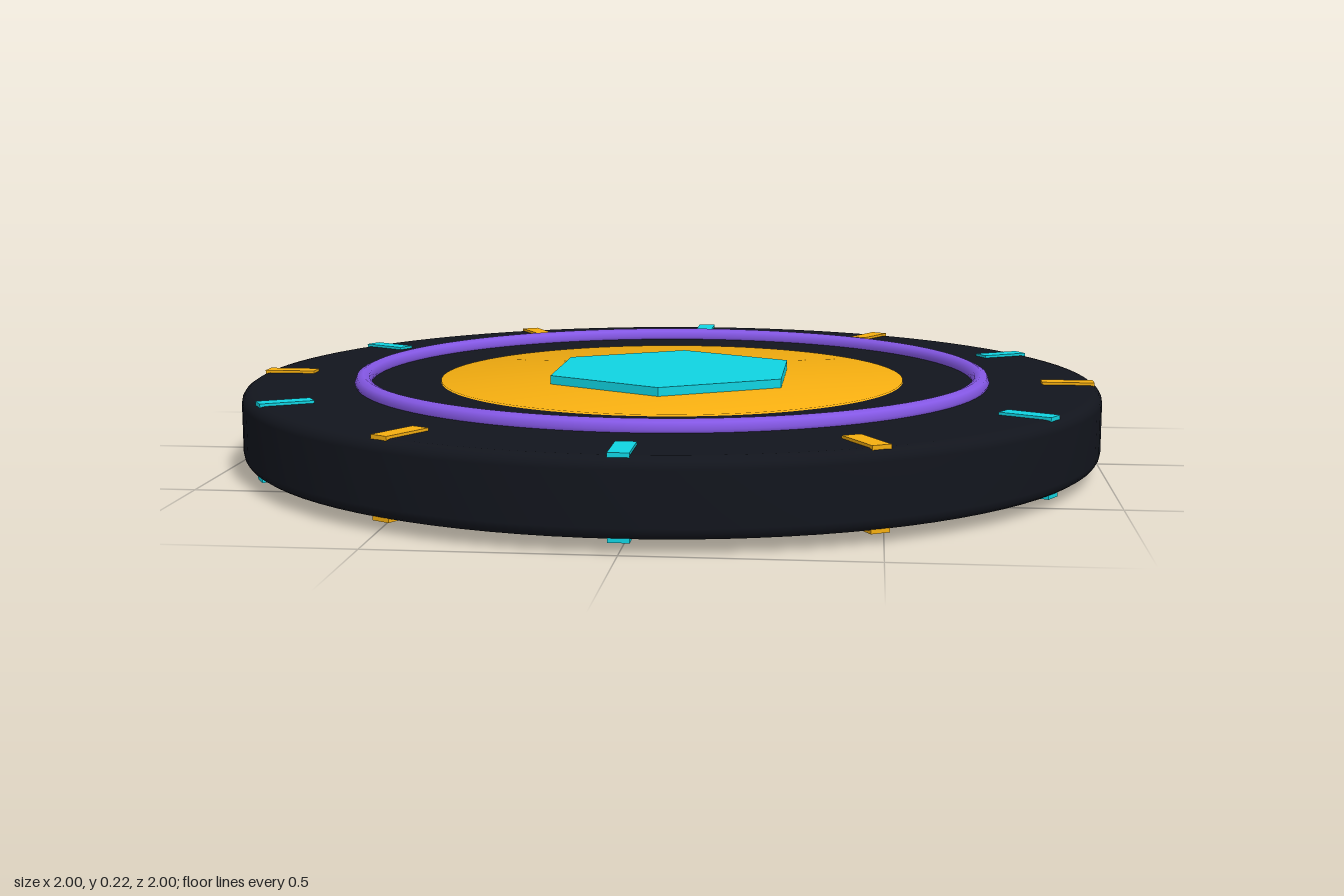
import * as THREE from 'three';

const MID = 0.108; // height of the middle plane

function paint(color) {
  return new THREE.MeshStandardMaterial({ color });
}

function add(parent, name, geometry, material) {
  const mesh = new THREE.Mesh(geometry, material);
  mesh.name = name;
  parent.add(mesh);
  return mesh;
}

function lathe(points, segments = 96) {
  return new THREE.LatheGeometry(points.map(([r, y]) => new THREE.Vector2(r, y)), segments);
}

export function createModel() {
  const root = new THREE.Group();
  root.name = 'disc';
  const chip = new THREE.Group();
  chip.name = 'chip';
  chip.position.y = MID;
  root.add(chip);

  const dark = paint(0x12151d);
  const gold = paint(0xf5ae10);
  const cyan = paint(0x10d4e2);
  const purple = paint(0x8558e6);

  // Body: flat disc with a rounded rim
  const h = 0.081, bevel = 0.025;
  const profile = [[0, -h], [0.965, -h]];
  for (const side of [-1, 1]) {
    for (let i = 0; i <= 4; i++) {
      const a = side < 0 ? -Math.PI / 2 + (i * Math.PI) / 8 : (i * Math.PI) / 8;
      profile.push([1 - bevel + bevel * Math.cos(a), side * (h - bevel) + bevel * Math.sin(a)]);
    }
  }
  profile.push([0.965, h], [0, h]);
  add(chip, 'body', lathe(profile), dark);

  // Gold centre with soft shading running from rim to middle
  const g = 0.085;
  add(chip, 'goldCentre', lathe([[0, -g], [0.545, -g], [0.545, g], [0, g]]), gold);

  // Hexagonal core, showing on both faces
  const hexagon = new THREE.CylinderGeometry(0.308, 0.308, 0.21, 6).toNonIndexed();
  hexagon.computeVertexNormals();
  add(chip, 'hexagonCore', hexagon, cyan);

  // Rings and edge marks, repeated on both faces
  const ringGeometry = new THREE.TorusGeometry(0.725, 0.02, 8, 96).rotateX(Math.PI / 2);
  const markGeometry = new THREE.BoxGeometry(0.12, 0.02, 0.043);
  for (const side of [1, -1]) {
    const face = side > 0 ? 'top' : 'bottom';
    add(chip, face + 'Ring', ringGeometry, purple).position.y = side * 0.088;

    for (let i = 0; i < 12; i++) {
      const a = (i * Math.PI) / 6;
      const mark = add(chip, face + 'Mark' + (i + 1), markGeometry, i % 2 ? cyan : gold);
      mark.position.set(0.926 * Math.cos(a), side * 0.077, -0.926 * Math.sin(a));
      mark.rotation.y = a;
    }
  }
  return root;
}
